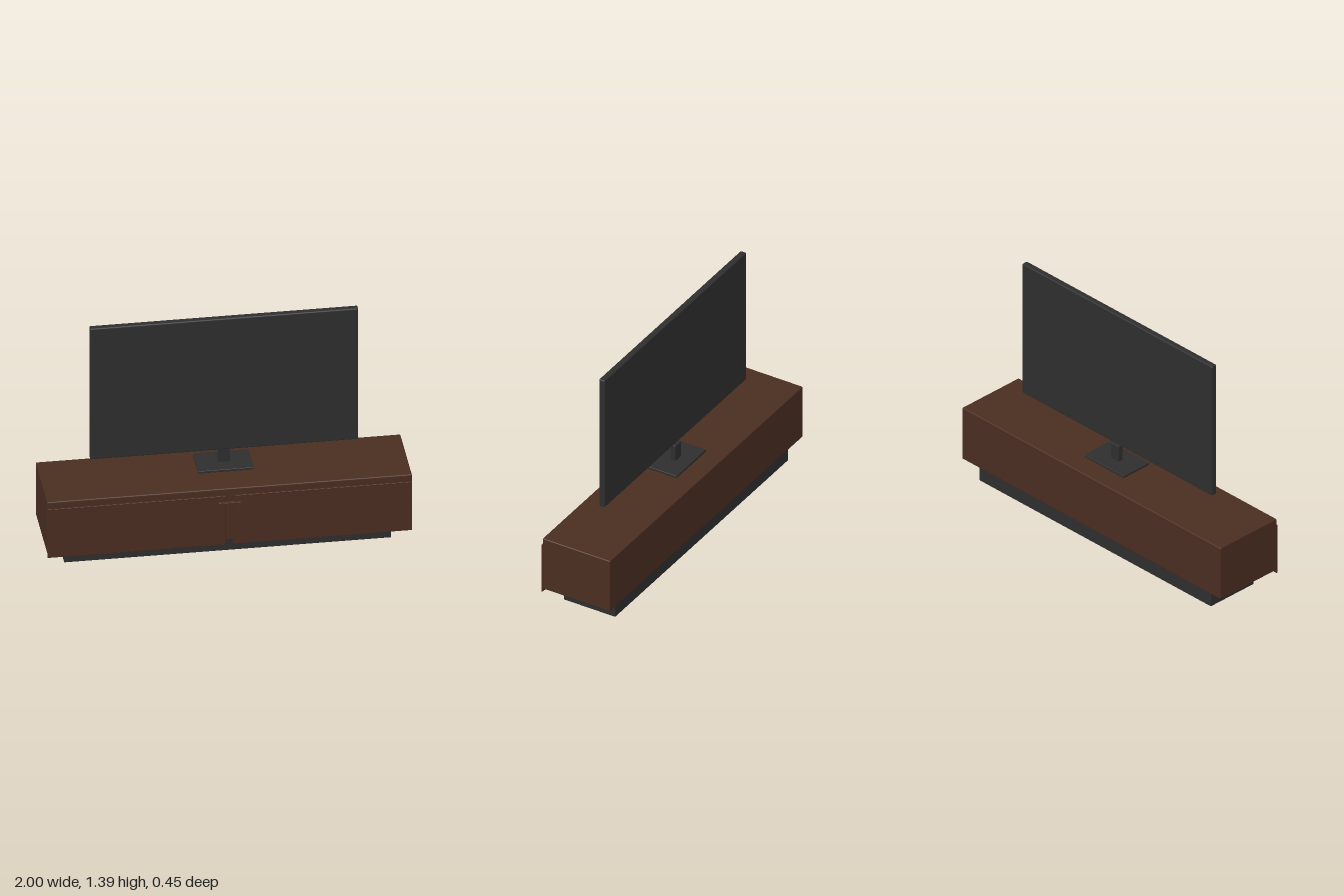
import * as THREE from 'three';
import { RoundedBoxGeometry } from 'three/addons/geometries/RoundedBoxGeometry.js';

export function createModel() {
  const model = new THREE.Group();
  model.name = 'televisionOnCabinet';

  const wood = new THREE.MeshStandardMaterial({ color: 0x4a2d21 });
  wood.name = 'dark wood';
  const black = new THREE.MeshStandardMaterial({ color: 0x2e2e2e });
  black.name = 'charcoal';

  // Softened block given by its extents along each axis
  function block(name, material, [x0, x1], [y0, y1], [z0, z1], radius) {
    const geometry = new RoundedBoxGeometry(x1 - x0, y1 - y0, z1 - z0, 2, radius);
    const mesh = new THREE.Mesh(geometry, material);
    mesh.name = name;
    mesh.position.set((x0 + x1) / 2, (y0 + y1) / 2, (z0 + z1) / 2);
    model.add(mesh);
    return mesh;
  }

  // Cabinet on a recessed plinth
  block('plinth', black, [-0.897, 0.897], [0, 0.107], [-0.195, 0.133], 0.004);
  block('cabinet', wood, [-1, 1], [0.105, 0.433], [-0.224, 0.205], 0.006);

  // Pair of overhanging door panels with a gap between them
  for (const [name, side] of [['leftDoor', 1], ['rightDoor', -1]]) {
    const door = block(name, wood, [0.022, 1], [0.085, 0.391], [0.203, 0.212], 0.002);
    door.position.x *= side;
  }

  // Shared handle bar across the gap
  block('handle', wood, [-0.062, 0.062], [0.345, 0.356], [0.205, 0.228], 0.002);

  // Television: foot, neck and slim panel
  block('standFoot', black, [-0.153, 0.153], [0.457, 0.472], [-0.128, 0.067], 0.003);
  block('standNeck', black, [-0.031, 0.031], [0.465, 0.568], [-0.045, -0.015], 0.003);
  block('screen', black, [-0.735, 0.735], [0.563, 1.391], [-0.028, 0.009], 0.007);

  return model;
}
